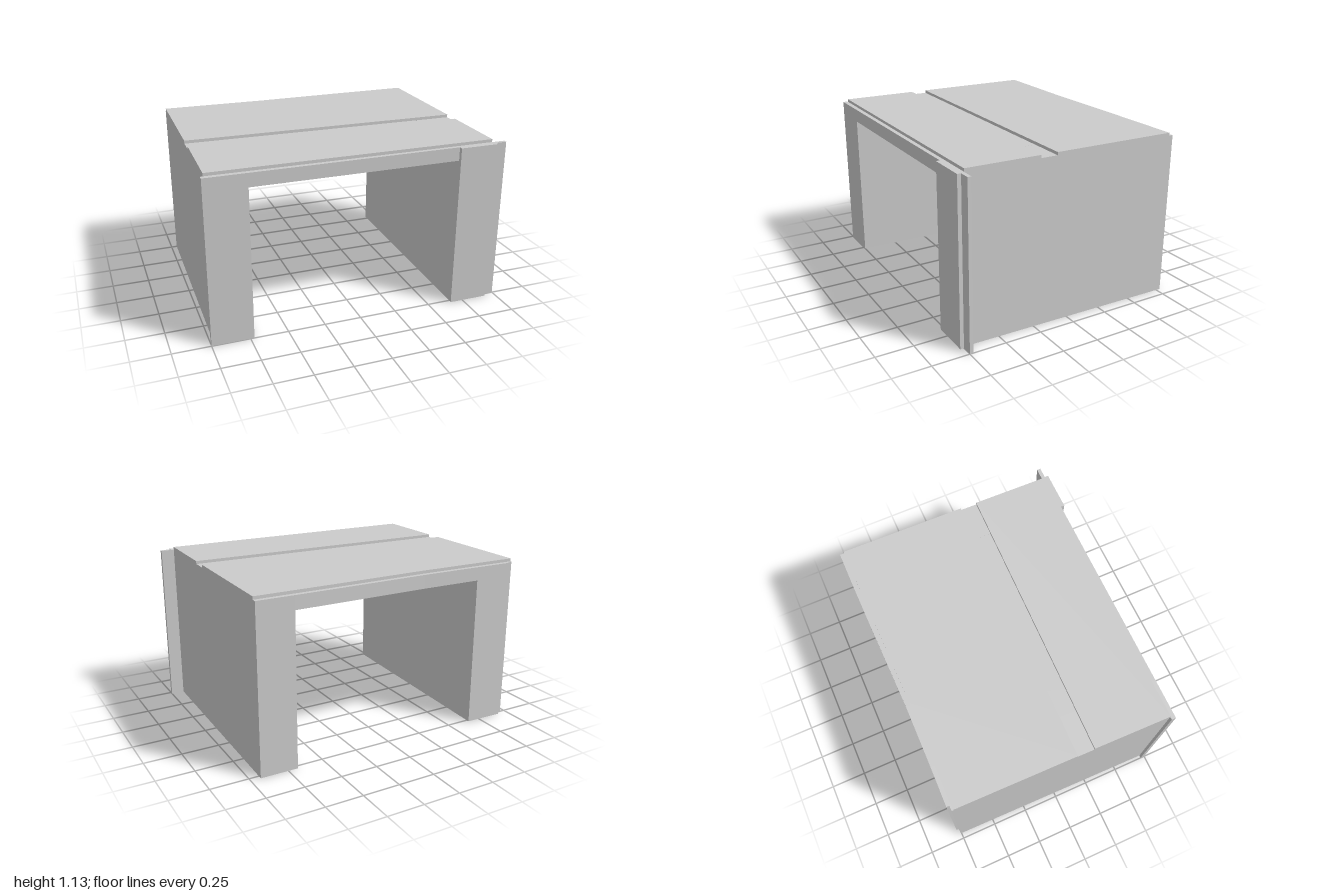
import * as THREE from 'three';

const material = new THREE.MeshStandardMaterial({ color: 0xcccccc, flatShading: true });

// Upright prism over a plan outline of [x, z] corners, from y0 to y1
function prism(name, plan, y0, y1) {
  const shape = new THREE.Shape(plan.map(([x, z]) => new THREE.Vector2(x, -z)));
  const geometry = new THREE.ExtrudeGeometry(shape, { depth: y1 - y0, bevelEnabled: false });
  geometry.rotateX(-Math.PI / 2);
  geometry.translate(0, y0, 0);
  const mesh = new THREE.Mesh(geometry, material);
  mesh.name = name;
  return mesh;
}

export function createModel() {
  const group = new THREE.Group();
  group.name = 'gateway';
  const ceiling = 1.02, eaves = 1.11, top = 1.13;

  // Side walls, with thin facade flanges and corner notches
  group.add(prism('rightWall', [
    [-1, 0.75], [-0.725, 0.75], [-0.66, -0.77], [-0.925, -0.775],
    [-0.925, -0.755], [-0.96, -0.755], [-0.98, 0.72], [-1, 0.72],
  ], 0, eaves));
  group.add(prism('leftWall', [
    [0.66, 0.775], [0.925, 0.775], [0.925, 0.75], [1, 0.75], [1, 0.725],
    [0.91, 0.725], [0.935, -0.78], [0.685, -0.78],
  ], 0, eaves));

  // Slab spanning the passage, slightly bent along the back
  group.add(prism('lintel', [
    [-0.725, 0.75], [0.66, 0.75], [0.685, -0.78], [0.4, -0.777],
    [-0.24, -0.766], [-0.66, -0.77],
  ], ceiling, eaves));

  // Raised roof panels either side of a shallow slanted channel
  group.add(prism('frontRoofPanel', [
    [-0.983, 0.718], [0.91, 0.724], [0.919, 0.22], [-0.973, 0.195],
  ], eaves, top));
  group.add(prism('backRoofPanel', [
    [-0.972, 0.08], [0.921, 0.105], [0.935, -0.75], [0.4, -0.746],
    [-0.24, -0.735], [-0.96, -0.745],
  ], eaves, top));

  return group;
}
